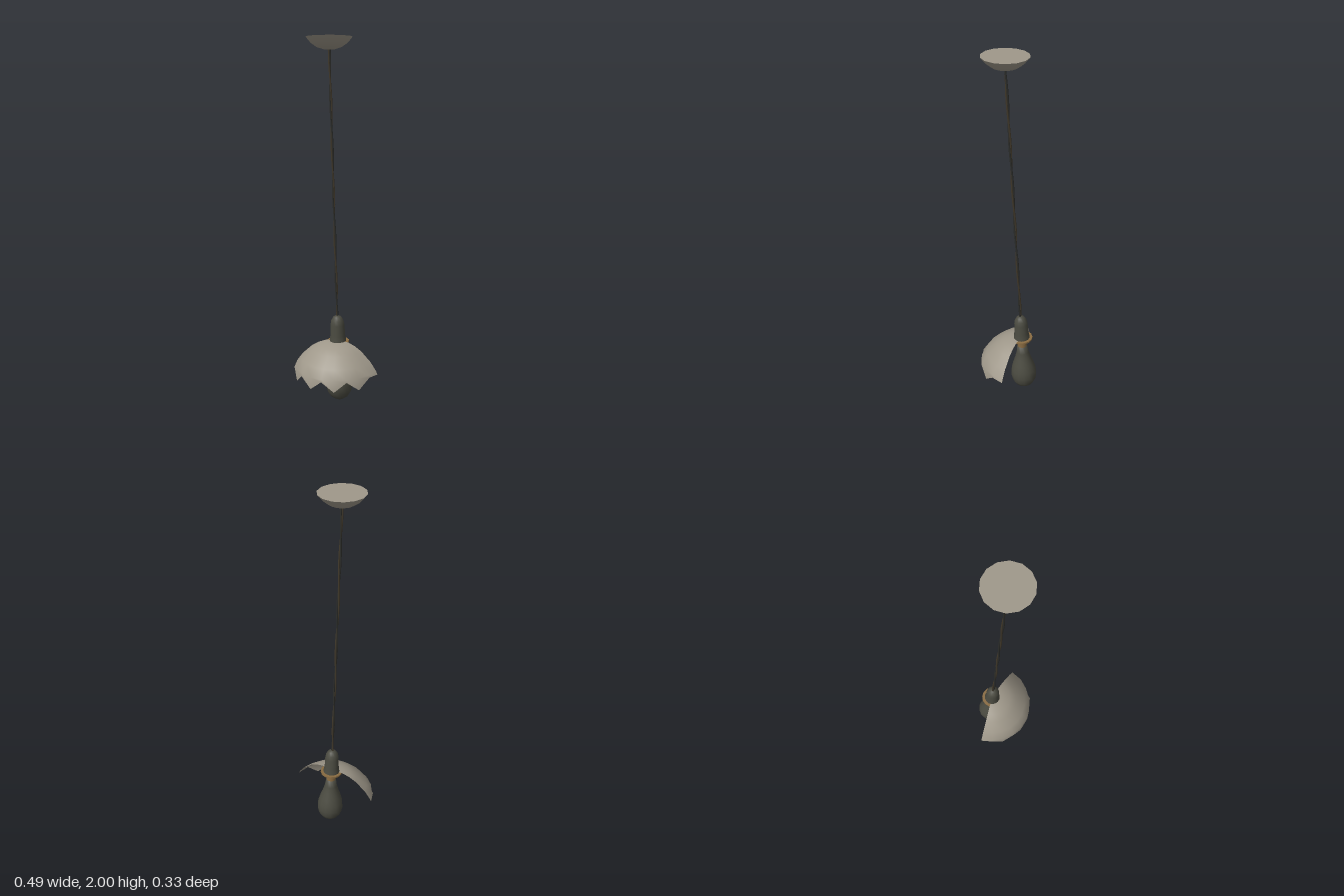
import * as THREE from 'three';

const mat = (name, color, side = THREE.FrontSide) => {
  const m = new THREE.MeshStandardMaterial({ color, side });
  m.name = name;
  return m;
};

export function createModel() {
  const shadeGrey = mat('warm grey enamel', 0x9f988a, THREE.DoubleSide);
  const darkGrey = mat('dark grey', 0x4b4b41);
  const brass = mat('brass', 0x8a6c42);
  const cordBlack = mat('black cord', 0x2c2d2a);
  const cordBrown = mat('brown cord', 0x40382a);

  const model = new THREE.Group();
  model.name = 'pendantLamp';
  const SIDES = 14;

  const add = (parent, name, geometry, material) => {
    const mesh = new THREE.Mesh(geometry, material);
    mesh.name = name;
    parent.add(mesh);
    return mesh;
  };
  const lathe = (points, sides = SIDES) => new THREE.LatheGeometry(
    points.map(([r, y]) => new THREE.Vector2(r, y)), sides
  ).rotateY(Math.PI / sides);

  // Ceiling rose: shallow bowl closed by a flat disc
  const rose = new THREE.Group();
  rose.name = 'ceilingRose';
  rose.position.set(-0.005, 0, 0.024);
  model.add(rose);
  add(rose, 'roseBowl', lathe([
    [0, 1.935], [0.03, 1.937], [0.065, 1.948], [0.095, 1.969], [0.121, 2],
  ]), shadeGrey);
  add(rose, 'roseTop', new THREE.CircleGeometry(0.121, SIDES)
    .rotateX(-Math.PI / 2).translate(0, 2, 0), shadeGrey);

  // Everything below the rose hangs along one slightly leaning axis
  const lamp = new THREE.Group();
  lamp.name = 'hangingLamp';
  lamp.position.set(-0.005, 0.004, -0.098);
  lamp.rotation.x = 0.0625;
  model.add(lamp);

  // Bulb
  add(lamp, 'bulb', lathe([
    [0, 0], [0.025, 0.004], [0.05, 0.021], [0.068, 0.05], [0.075, 0.088],
    [0.071, 0.125], [0.06, 0.165], [0.046, 0.205], [0.035, 0.245], [0.029, 0.29], [0, 0.292],
  ]), darkGrey);

  // Brass neck and collar ring
  add(lamp, 'neck', new THREE.CylinderGeometry(0.026, 0.026, 0.065, SIDES)
    .translate(0, 0.318, 0), brass);
  add(lamp, 'collar', new THREE.CylinderGeometry(0.062, 0.062, 0.009, SIDES)
    .translate(0, 0.346, 0), brass);

  // Lamp holder with a domed top
  add(lamp, 'lampHolder', lathe([
    [0.047, 0.345], [0.045, 0.362], [0.041, 0.385], [0.039, 0.445],
    [0.034, 0.472], [0.022, 0.491], [0.008, 0.498], [0, 0.499],
  ]), darkGrey);

  // Two twisted cord strands
  [cordBlack, cordBrown].forEach((material, k) => {
    const points = [];
    for (let i = 0; i <= 40; i++) {
      const a = (i / 40) * Math.PI * 6 + k * Math.PI;
      points.push(new THREE.Vector3(
        0.004 * Math.cos(a), 0.49 + 1.455 * i / 40, 0.004 * Math.sin(a)));
    }
    add(lamp, 'cordStrand', new THREE.TubeGeometry(
      new THREE.CatmullRomCurve3(points), 80, 0.0048, 6), material);
  });

  // Broken half shade: radial profile swept through 161 degrees, with pointed petals
  const profile = [[0.035, 0.353], [0.07, 0.35], [0.11, 0.336], [0.15, 0.314], [0.208, 0.262], [0.242, 0.216]];
  const columns = 10;
  const rows = profile.length + 1;
  const positions = [];
  const index = [];
  for (let c = 0; c <= columns; c++) {
    const a = THREE.MathUtils.degToRad(4 + 16.1 * c);
    const isEnd = c === 0 || c === columns;
    const rim = isEnd ? [0.25, 0.198] : c % 2 === 0 ? [0.247, 0.15] : [0.249, 0.205];
    [...profile, rim].forEach(([r, y], j) => {
      positions.push(r * Math.cos(a), y, r * Math.sin(a));
      if (c < columns && j < rows - 1) {
        const p = c * rows + j;
        index.push(p, p + rows, p + 1, p + rows, p + rows + 1, p + 1);
      }
    });
  }
  const shade = new THREE.BufferGeometry();
  shade.setAttribute('position', new THREE.Float32BufferAttribute(positions, 3));
  shade.setIndex(index);
  shade.computeVertexNormals();
  add(lamp, 'petalShade', shade, shadeGrey);

  return model;
}
